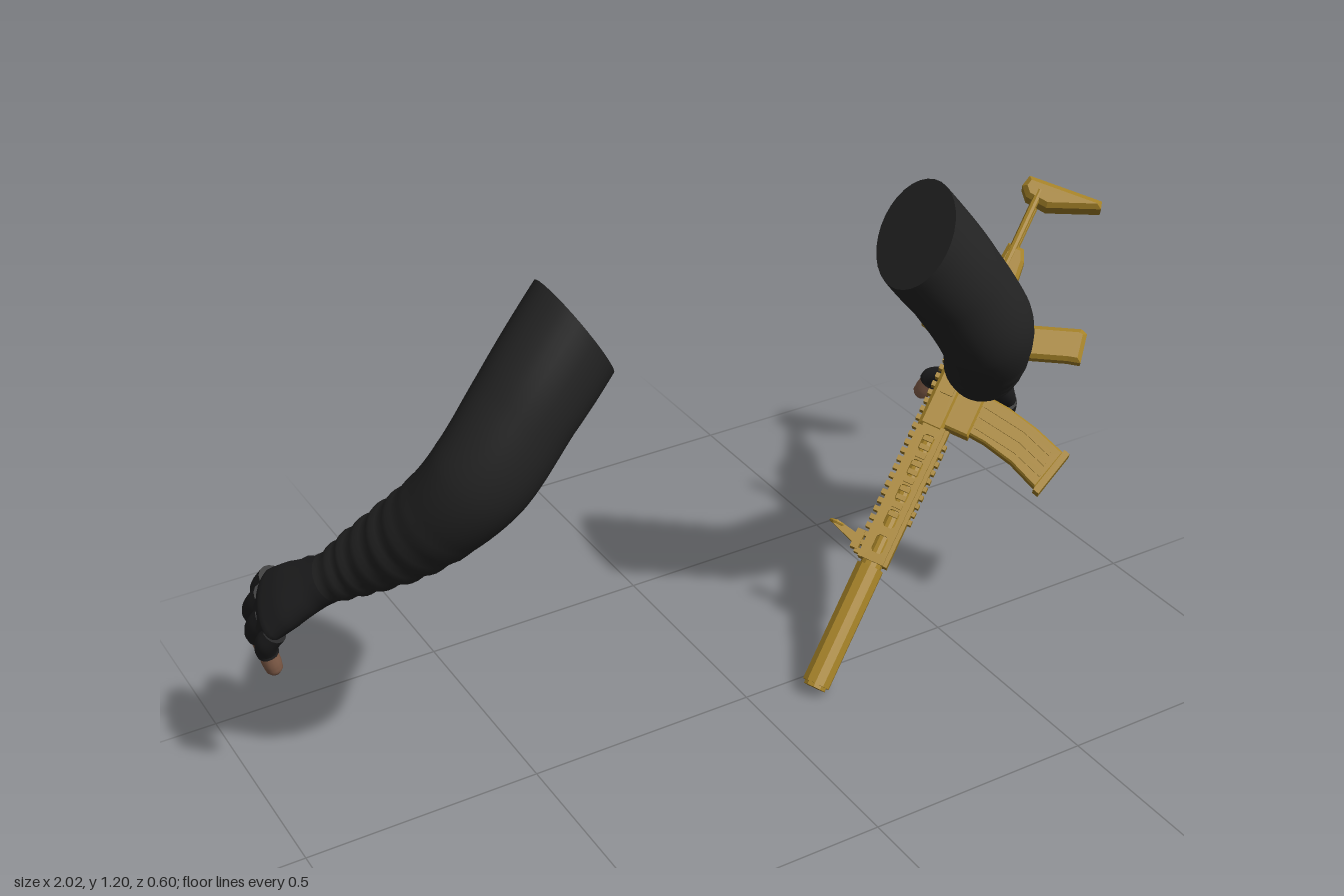
import * as THREE from 'three';

const sleeveMat = new THREE.MeshStandardMaterial({ color: 0x242424, name: 'sleeve black' });
const gloveMat = new THREE.MeshStandardMaterial({ color: 0x1f1f20, name: 'glove black' });
const skinMat = new THREE.MeshStandardMaterial({ color: 0x87614c, name: 'skin brown' });
const goldMat = new THREE.MeshStandardMaterial({ color: 0xa58228, name: 'gold' });
goldMat.flatShading = true;

// Smooth closed tube through rings [x, y, z, width radius, thickness radius]
function loft(name, mat, rings, { steps = 5, sides = 24, startT = null, fold = () => 1 } = {}) {
  const curve = new THREE.CatmullRomCurve3(rings.map(r => new THREE.Vector3(r[0], r[1], r[2])), false, 'centripetal');
  const n = (rings.length - 1) * steps, pos = [], idx = [], centres = [];
  for (let i = 0; i <= n; i++) {
    const f = i / n, k = Math.min(Math.floor(i / steps), rings.length - 2), m = i / steps - k;
    const rad = a => THREE.MathUtils.lerp(rings[k][a] ?? rings[k][3], rings[k + 1][a] ?? rings[k + 1][3], m);
    const c = curve.getPoint(f), t = curve.getTangent(f);
    if (startT && i < steps) t.lerp(startT, 1 - i / steps).normalize();
    const u = new THREE.Vector3(0, 0, 1).addScaledVector(t, -t.z).normalize();
    const v = t.clone().cross(u);
    centres.push(c);
    for (let j = 0; j < sides; j++) {
      const a = j / sides * Math.PI * 2, w = fold(f, a);
      const p = c.clone().addScaledVector(u, Math.cos(a) * rad(3) * w).addScaledVector(v, Math.sin(a) * rad(4) * w);
      pos.push(p.x, p.y, p.z);
    }
  }
  for (let i = 0; i < n; i++) for (let j = 0; j < sides; j++) {
    const a = i * sides + j, b = i * sides + (j + 1) % sides;
    idx.push(a, b, a + sides, b, b + sides, a + sides);
  }
  // End caps with their own corners, so the rims stay sharp
  for (const i of [0, n]) {
    const base = pos.length / 3;
    for (let j = 0; j < sides; j++) pos.push(...pos.slice((i * sides + j) * 3, (i * sides + j) * 3 + 3));
    pos.push(...centres[i].toArray());
    for (let j = 0; j < sides; j++) {
      const a = base + j, b = base + (j + 1) % sides;
      idx.push(base + sides, i ? a : b, i ? b : a);
    }
  }
  const g = new THREE.BufferGeometry();
  g.setAttribute('position', new THREE.Float32BufferAttribute(pos, 3));
  g.setIndex(idx);
  g.computeVertexNormals();
  const mesh = new THREE.Mesh(g, mat);
  mesh.name = name;
  return mesh;
}

// One arm; the other is reflected about the plane x = -0.11
function makeArm(name, mirrored) {
  const arm = new THREE.Group();
  arm.name = name;
  const fx = r => mirrored ? [-0.22 - r[0], ...r.slice(1)] : r;
  const add = (n, mat, rings, opt) => arm.add(loft(n, mat, rings.map(fx), opt));

  const startT = new THREE.Vector3(mirrored ? -0.87 : 0.87, -0.5, 0);
  add('sleeve', sleeveMat, [
    [0.25, 1.115, 0.2, 0.1, 0.109], [0.35, 0.99, 0.2, 0.097, 0.1], [0.435, 0.868, 0.187, 0.092, 0.1],
    [0.49, 0.775, 0.13, 0.086, 0.09], [0.54, 0.695, 0.055, 0.08, 0.079],
    [0.595, 0.625, -0.02, 0.066, 0.063], [0.645, 0.575, -0.07, 0.05, 0.045],
  ], {
    startT, steps: 8, sides: 32,
    fold: (f, a) => f < 0.45 ? 1 : 1 + 0.035 * Math.sin(f * 75 + 1.5 * Math.sin(a)) * Math.min(1, (f - 0.45) * 5),
  });
  add('glovePalm', gloveMat, [
    [0.62, 0.6, -0.045, 0.05, 0.044], [0.66, 0.56, -0.09, 0.052, 0.042], [0.7, 0.52, -0.135, 0.07, 0.042],
    [0.728, 0.488, -0.168, 0.078, 0.037], [0.745, 0.468, -0.187, 0.06, 0.022],
  ]);

  // Knuckle, glove edge and tip of each digit, with its radius
  const digits = {
    littleFinger: [[0.748, 0.458, -0.12], [0.758, 0.405, -0.15], [0.742, 0.338, -0.16], 0.02],
    ringFinger: [[0.745, 0.475, -0.155], [0.755, 0.412, -0.205], [0.728, 0.333, -0.222], 0.022],
    middleFinger: [[0.732, 0.498, -0.19], [0.742, 0.43, -0.247], [0.712, 0.338, -0.273], 0.022],
    indexFinger: [[0.71, 0.515, -0.218], [0.716, 0.45, -0.27], [0.7, 0.368, -0.287], 0.021],
    thumb: [[0.66, 0.535, -0.15], [0.625, 0.497, -0.235], [0.612, 0.443, -0.265], 0.022],
  };
  for (const [n, [k, m, t, r]] of Object.entries(digits)) {
    const at = f => m.map((v, i) => v + (t[i] - v) * f);
    const mid = k.map((v, i) => (v + m[i]) / 2);
    mid[0] += n === 'thumb' ? -0.005 : 0.006;
    add(n + 'Glove', gloveMat, [[...k, r * 1.2], [...mid, r * 1.15], [...m, r * 1.1], [...at(0.15), r * 1.08]], { sides: 14 });
    add(n + 'Skin', skinMat, [[...m, r * 0.9], [...at(0.5), r * 0.95], [...at(0.8), r * 0.85], [...at(0.95), r * 0.5], [...t, r * 0.1]],
      { sides: 14, steps: 3 });
  }
  return arm;
}

// Rifle in its own frame: x from muzzle to butt, y up, z across
function makeRifle() {
  const gun = new THREE.Group();
  gun.name = 'rifle';
  const add = (name, geo) => {
    const m = new THREE.Mesh(geo, goldMat);
    m.name = name;
    gun.add(m);
    return m;
  };
  const box = (name, x0, x1, y0, y1, w, z = 0) =>
    add(name, new THREE.BoxGeometry(x1 - x0, y1 - y0, w).translate((x0 + x1) / 2, (y0 + y1) / 2, z));
  const rod = (name, x0, x1, r, y = 0, z = 0, sides = 12) =>
    add(name, new THREE.CylinderGeometry(r, r, x1 - x0, sides).rotateZ(-Math.PI / 2).translate((x0 + x1) / 2, y, z));
  const plate = (name, pts, w, z = 0, holes = [], bevel = 0) => {
    const s = new THREE.Shape(pts.map(p => new THREE.Vector2(...p)));
    holes.forEach(h => s.holes.push(new THREE.Path(h.map(p => new THREE.Vector2(...p)))));
    return add(name, new THREE.ExtrudeGeometry(s, {
      depth: w - bevel * 2, bevelEnabled: bevel > 0, bevelSize: bevel, bevelThickness: bevel, bevelOffset: -bevel, bevelSegments: 1,
    }).translate(0, 0, z - w / 2 + bevel));
  };

  // Suppressor and barrel
  rod('suppressor', 0.008, 0.285, 0.031, 0, 0, 10);
  rod('muzzleRing', 0, 0.01, 0.025, 0, 0, 10);
  rod('barrel', 0.28, 0.63, 0.016);
  rod('barrelCollar', 0.28, 0.3, 0.024);

  // Slotted handguard with rails
  const slots = [];
  for (let i = 0; i < 5; i++) {
    const x = 0.315 + i * 0.06;
    slots.push([[x, -0.008], [x + 0.006, -0.013], [x + 0.034, -0.013], [x + 0.04, -0.008],
      [x + 0.04, 0.008], [x + 0.034, 0.013], [x + 0.006, 0.013], [x, 0.008]]);
  }
  for (const z of [-0.026, 0.026])
    plate('handguardSide', [[0.295, -0.025], [0.62, -0.025], [0.62, 0.025], [0.295, 0.025]], 0.008, z, slots);
  box('handguardTop', 0.295, 0.62, 0.022, 0.034, 0.044);
  box('handguardBottom', 0.295, 0.62, -0.034, -0.022, 0.044);
  for (let x = 0.3; x < 0.92; x += 0.02) box('railTooth', x, x + 0.011, 0.032, 0.046, 0.03);
  for (let x = 0.4; x < 0.6; x += 0.02) {
    box('lowerRailTooth', x, x + 0.011, -0.042, -0.032, 0.028);
    for (const z of [-0.033, 0.033]) box('sideRailTooth', x, x + 0.011, -0.011, 0.011, 0.008, z);
  }

  // Receiver
  plate('upperReceiver', [[0.61, -0.02], [0.97, -0.02], [0.99, 0.0], [0.98, 0.036], [0.61, 0.036]], 0.064, 0, [], 0.007);
  plate('lowerReceiver', [[0.625, -0.075], [0.745, -0.075], [0.76, -0.052], [0.9, -0.055], [0.965, -0.03], [0.965, -0.01], [0.625, -0.01]],
    0.054, 0, [], 0.005);
  box('ejectionPort', 0.69, 0.77, -0.008, 0.02, 0.008, 0.034);
  rod('forwardAssist', 0.8, 0.84, 0.012, 0, 0.036, 8);
  box('selector', 0.84, 0.872, -0.04, -0.03, 0.068);
  box('chargingHandle', 0.925, 0.95, 0.022, 0.036, 0.1);

  // Sights
  for (const x of [0.325, 0.8]) {
    box('sightBase', x - 0.018, x + 0.025, 0.04, 0.058, 0.04);
    plate('sightPost', [[x - 0.008, 0.055], [x + 0.014, 0.055], [x + 0.024, 0.108], [x + 0.012, 0.11]], 0.016);
    add('sightRing', new THREE.TorusGeometry(0.014, 0.004, 6, 12).rotateY(Math.PI / 2).translate(x + 0.018, 0.105, 0));
  }

  // Curved magazine with ribs
  plate('magazine', [[0.635, -0.05], [0.73, -0.05], [0.722, -0.13], [0.706, -0.2], [0.68, -0.275], [0.585, -0.25], [0.614, -0.18], [0.63, -0.11]],
    0.042, 0, [], 0.004);
  plate('magazineFoot', [[0.58, -0.248], [0.686, -0.274], [0.682, -0.288], [0.576, -0.262]], 0.05);
  for (const dx of [0.02, 0.045, 0.07])
    plate('magazineRib', [[0.63 + dx, -0.08], [0.642 + dx, -0.08], [0.627 + dx, -0.18], [0.602 + dx, -0.25], [0.59 + dx, -0.25], [0.615 + dx, -0.18]], 0.05);

  // Pistol grip, trigger and guard
  plate('pistolGrip', [[0.815, -0.045], [0.895, -0.045], [0.902, -0.08], [0.945, -0.2], [0.94, -0.215], [0.875, -0.228], [0.868, -0.2], [0.832, -0.1]],
    0.048, 0, [], 0.009);
  plate('triggerGuard', [[0.735, -0.05], [0.745, -0.098], [0.828, -0.098], [0.835, -0.05]], 0.018, 0,
    [[[0.743, -0.05], [0.752, -0.09], [0.82, -0.09], [0.826, -0.05]]]);
  plate('trigger', [[0.78, -0.05], [0.792, -0.05], [0.785, -0.07], [0.772, -0.085]], 0.01);

  // Wire stock on twin rods
  plate('stockHousing', [[0.95, -0.034], [1.03, -0.026], [1.055, -0.014], [1.055, 0.022], [0.95, 0.03]], 0.062, 0, [], 0.008);
  for (const z of [-0.026, 0.026]) rod('stockRod', 0.93, 1.19, 0.0085, 0.008, z, 8);
  plate('buttPlate', [[1.165, 0.03], [1.185, 0.048], [1.212, 0.042], [1.222, -0.125], [1.205, -0.13], [1.16, -0.02]], 0.066, 0, [], 0.01);

  // Aim down and across
  const m = new THREE.Matrix4().makeBasis(
    new THREE.Vector3(0.655, 0.711, -0.256), new THREE.Vector3(-0.6, 0.28, -0.75), new THREE.Vector3(-0.461, 0.645, 0.61));
  gun.quaternion.setFromRotationMatrix(m).normalize();
  gun.position.set(0.13, 0.026, 0.065);
  return gun;
}

export function createModel() {
  const model = new THREE.Group();
  model.name = 'armsWithRifle';
  model.add(makeArm('leftArm', false), makeArm('rightArm', true), makeRifle());
  return model;
}
